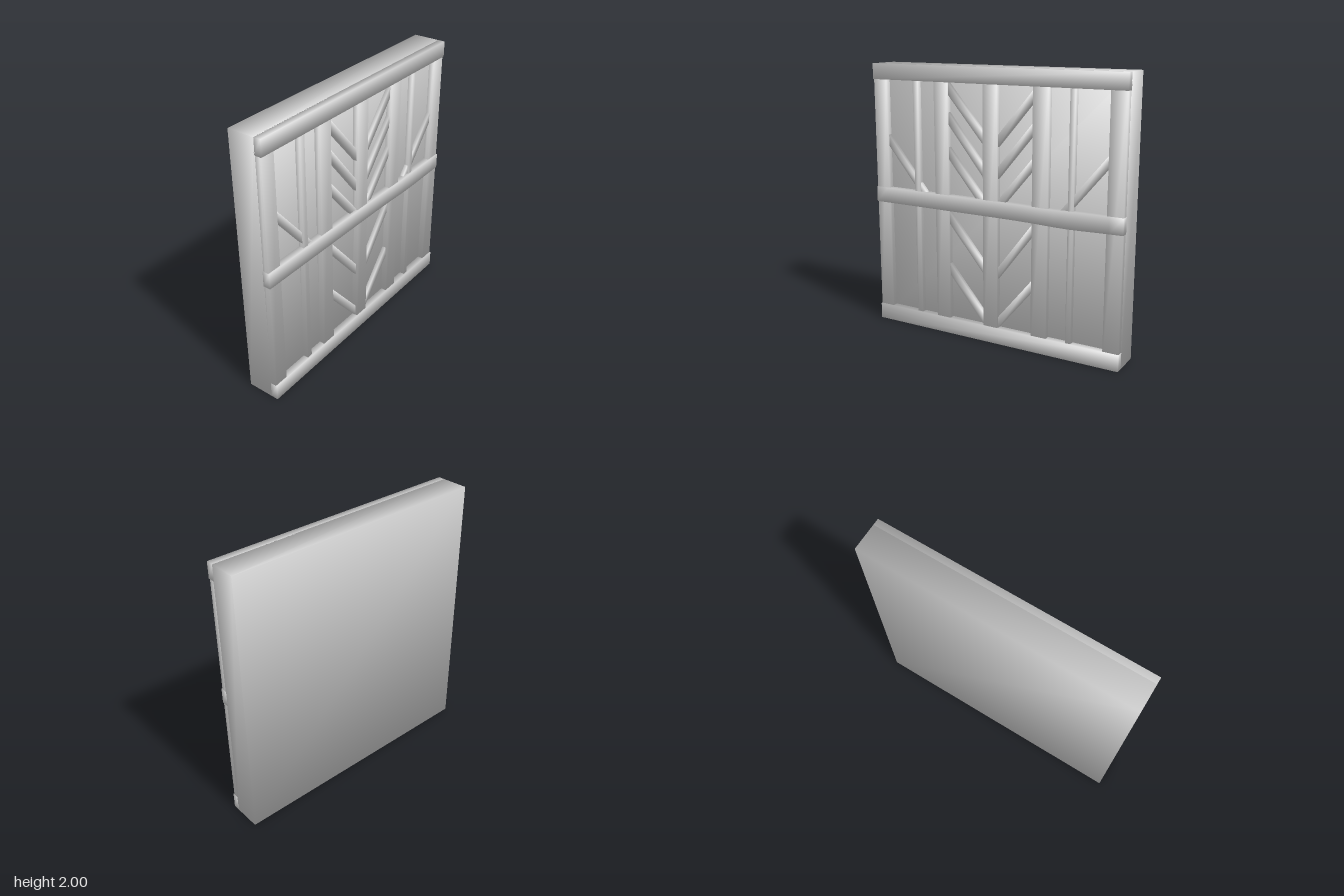
import * as THREE from 'three';

const material = new THREE.MeshStandardMaterial({ color: 0xcccccc });

// Average the normals of coincident corners, so each block shades softly.
function soften(geo) {
  const p = geo.attributes.position, n = geo.attributes.normal;
  const sums = new Map();
  const key = i => [p.getX(i), p.getY(i), p.getZ(i)].map(v => v.toFixed(4)).join();
  for (let i = 0; i < p.count; i++) {
    if (!sums.has(key(i))) sums.set(key(i), new THREE.Vector3());
    sums.get(key(i)).add(new THREE.Vector3().fromBufferAttribute(n, i));
  }
  for (let i = 0; i < p.count; i++) {
    const s = sums.get(key(i)).clone().normalize();
    n.setXYZ(i, s.x, s.y, s.z);
  }
  return geo;
}

// Block between two corners; an optional rule moves each vertex vertically.
function block(name, [x0, x1], [y0, y1], [z0, z1], segments = 1, lift = null) {
  const geo = new THREE.BoxGeometry(x1 - x0, y1 - y0, z1 - z0, segments, 1, 1);
  geo.translate((x0 + x1) / 2, (y0 + y1) / 2, (z0 + z1) / 2);
  if (lift) {
    const p = geo.attributes.position;
    for (let i = 0; i < p.count; i++) p.setY(i, p.getY(i) + lift(p.getX(i), p.getY(i)));
  }
  const mesh = new THREE.Mesh(soften(geo), material);
  mesh.name = name;
  return mesh;
}

// Slanted board with upright ends: yA and yB are its centre heights at xA and xB.
function brace(name, xA, yA, xB, yB, height) {
  const slope = (yB - yA) / (xB - xA);
  return block(name, [xA, xB], [yA - height / 2, yA + height / 2], [0.06, 0.103], 1,
    x => slope * (x - xA));
}

export function createModel() {
  const model = new THREE.Group();
  model.name = 'timberFramedWall';

  model.add(block('wallPanel', [-1, 1], [0, 2], [-0.125, 0.075]));

  // Horizontal beams
  model.add(block('topBeam', [-1, 1], [1.885, 2], [0.07, 0.125]));
  model.add(block('bottomBeam', [-1, 1], [0, 0.12], [0.07, 0.125]));
  // The middle beam is slightly warped towards its left end
  const warp = (x, y) => {
    const bow = Math.exp(-(((x - 0.6) / 0.25) ** 2));
    return y > 1.01 ? -0.006 * Math.exp(-(((x - 0.46) / 0.15) ** 2)) : -0.01 * bow;
  };
  model.add(block('middleBeam', [-1, 1], [0.955, 1.07], [0.07, 0.125], 20, warp));

  // Upright posts, thick and thin
  const posts = [
    [-0.998, -0.885], [-0.65, -0.605], [-0.465, -0.35], [-0.06, 0.055],
    [0.33, 0.45], [0.6, 0.64], [0.88, 0.998],
  ];
  for (const span of posts) {
    const thin = span[1] - span[0] < 0.06;
    model.add(block(thin ? 'thinPost' : 'post', span, [0.005, 1.995], [0.065, thin ? 0.113 : 0.116]));
  }

  // Chevron braces on both sides of the centre post: outer and inner heights
  const right = [[1.84, 1.5], [1.63, 1.265], [1.38, 1.03], [0.9, 0.55], [0.507, 0.16]];
  const left = [[1.825, 1.495], [1.605, 1.27], [1.365, 1.035], [0.9, 0.535], [0.49, 0.155]];
  for (const [outer, inner] of right) model.add(brace('chevronBrace', -0.352, outer, -0.058, inner, 0.09));
  for (const [outer, inner] of left) model.add(brace('chevronBrace', 0.053, inner, 0.332, outer, 0.085));

  // Corner braces in the upper outer bays
  model.add(brace('cornerBrace', -0.887, 1.435, -0.545, 1.02, 0.085));
  model.add(brace('cornerBrace', 0.54, 1.02, 0.882, 1.43, 0.085));

  return model;
}
